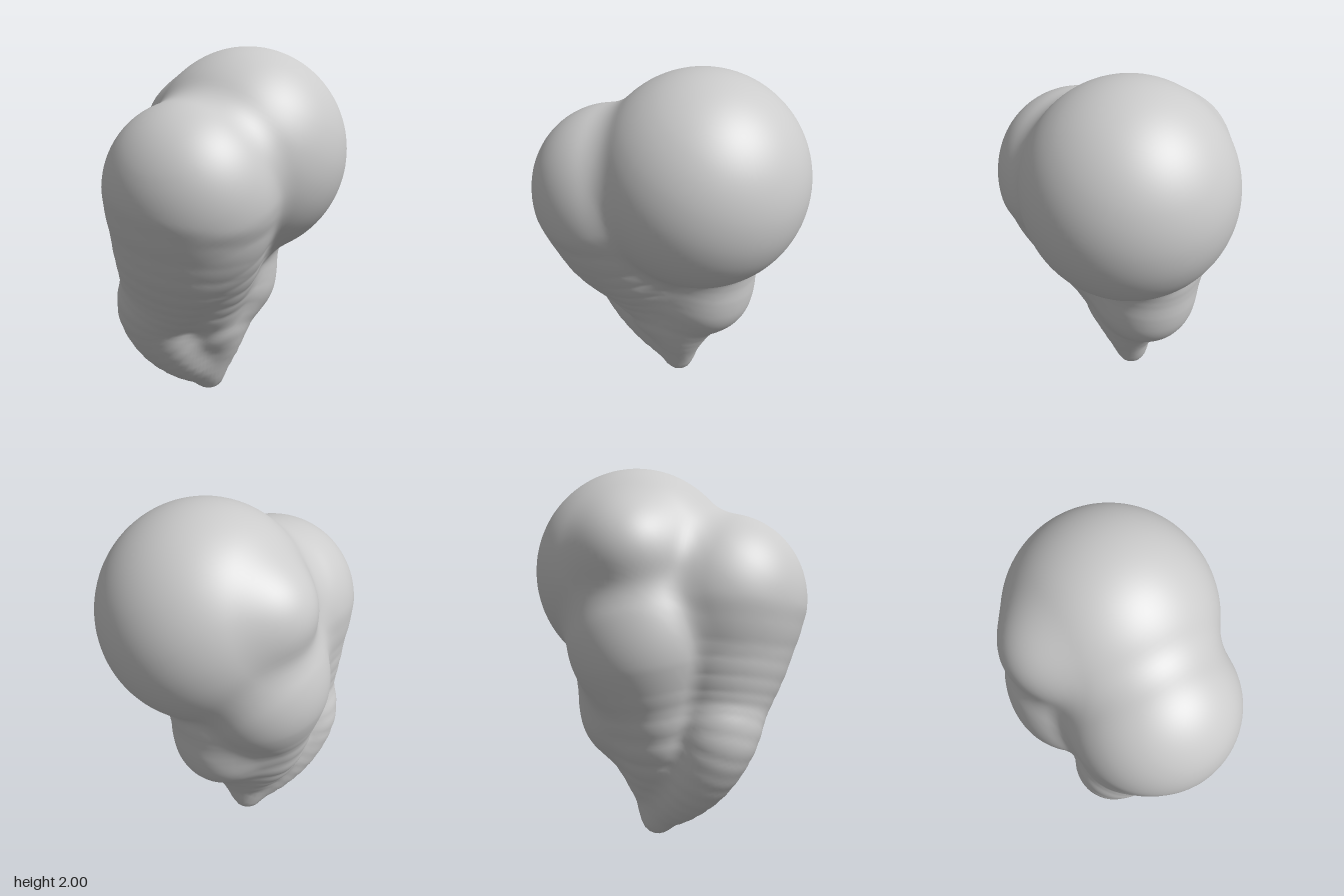
import * as THREE from 'three';
import { mergeVertices } from 'three/addons/utils/BufferGeometryUtils.js';

const V = (x, y, z) => new THREE.Vector3(x, y, z);

// Ellipsoid lobe: distance from p, given centre and radii
function lobe(c, r) {
  const q = V(), g = V();
  return p => {
    q.subVectors(p, c).divide(r);
    const k = q.length();
    return k * (k - 1) / Math.max(g.copy(q).divide(r).length(), 1e-6);
  };
}

// Tapered capsule from a (radius ra) to b (radius rb)
function taper(a, ra, b, rb) {
  const ab = b.clone().sub(a), q = V(), len2 = ab.lengthSq();
  return p => {
    q.subVectors(p, a);
    const h = THREE.MathUtils.clamp(q.dot(ab) / len2, 0, 1);
    return q.addScaledVector(ab, -h).length() - (ra + (rb - ra) * h);
  };
}

// Limb swept along a smooth path through nodes of [x, y, z, radius]
function limb(...nodes) {
  const path = new THREE.CatmullRomCurve3(nodes.map(n => V(n[0], n[1], n[2])), false, 'catmullrom');
  const radii = new THREE.CatmullRomCurve3(nodes.map(n => V(n[3], 0, 0)), false, 'catmullrom');
  const steps = (nodes.length - 1) * 3, pieces = [];
  for (let i = 0; i < steps; i++) {
    const s = i / steps, e = (i + 1) / steps;
    pieces.push(taper(path.getPoint(s), radii.getPoint(s).x, path.getPoint(e), radii.getPoint(e).x));
  }
  return p => pieces.reduce((d, piece) => Math.min(d, piece(p)), 10);
}

// Each part with the width of its blend into the parts before it
const parts = [
  [lobe(V(0.05, 1.435, -0.18), V(0.548, 0.565, 0.557)), 0.05],     // large back ball
  [lobe(V(-0.29, 1.56, -0.17), V(0.26, 0.25, 0.25)), 0.1],         // shoulder of the ball
  [lobe(V(-0.26, 1.12, -0.12), V(0.335, 0.42, 0.38)), 0.07],       // side bulge
  [lobe(V(-0.03, 1.32, 0.3), V(0.445, 0.44, 0.44)), 0.09],         // front ball
  [limb([-0.05, 1.05, 0, 0.33], [-0.12, 0.5, 0.03, 0.23]), 0.1],   // core
  [limb([-0.26, 1.02, -0.08, 0.3], [-0.23, 0.62, -0.03, 0.24],
    [-0.16, 0.35, -0.03, 0.16]), 0.1],                             // side body
  [limb([0, 1.25, 0.28, 0.41], [-0.01, 0.94, 0.18, 0.3],
    [-0.08, 0.68, 0.14, 0.23]), 0.05],                             // flank under the front ball
  [limb([-0.03, 1.26, 0.295, 0.435], [-0.08, 1.04, 0.285, 0.38], [-0.16, 0.8, 0.28, 0.285],
    [-0.26, 0.61, 0.28, 0.225], [-0.245, 0.42, 0.195, 0.2], [-0.195, 0.255, 0.085, 0.155],
    [-0.14, 0.11, -0.03, 0.085]), 0.05],                           // front body and keel
  [lobe(V(-0.08, 0.72, -0.2), V(0.28, 0.32, 0.28)), 0.1],          // lower back lobe
  [limb([-0.07, 0.92, -0.22, 0.28], [-0.07, 0.68, -0.19, 0.26]), 0.06], // neck of the back lobe
  [limb([-0.09, 0.5, -0.1, 0.2], [-0.09, 0.3, -0.06, 0.145],
    [-0.12, 0.08, -0.05, 0.075]), 0.08],                           // tip
];

// Smoothly blended distance to all lobes
function distance(p) {
  let d = 10;
  for (const [part, blend] of parts) {
    const e = part(p), h = Math.max(blend - Math.abs(d - e), 0) / blend;
    d = Math.min(d, e) - h * h * blend / 4;
  }
  return d;
}

export function createModel() {
  const group = new THREE.Group();
  group.name = 'blob';

  // Even sphere whose points are shrunk onto the blended lobes
  let geo = new THREE.IcosahedronGeometry(1, 36);
  geo.deleteAttribute('uv');
  geo.deleteAttribute('normal');
  geo = mergeVertices(geo, 1e-4);

  const centre = V(-0.08, 0.95, 0.02), dir = V(), p = V();
  const pos = geo.attributes.position;
  for (let i = 0; i < pos.count; i++) {
    dir.fromBufferAttribute(pos, i).normalize();
    let t = 1.3;
    for (let s = 0; s < 50; s++) {
      const d = distance(p.copy(centre).addScaledVector(dir, t));
      if (d < 5e-4) break;
      t -= d * 0.85;
    }
    pos.setXYZ(i, p.x, p.y, p.z);
  }

  // Stand it on the ground
  geo.computeBoundingBox();
  geo.translate(0, -geo.boundingBox.min.y, 0);
  geo.computeVertexNormals();

  const body = new THREE.Mesh(geo, new THREE.MeshStandardMaterial({ color: 0xcccccc }));
  body.name = 'lobedBody';
  group.add(body);
  return group;
}
